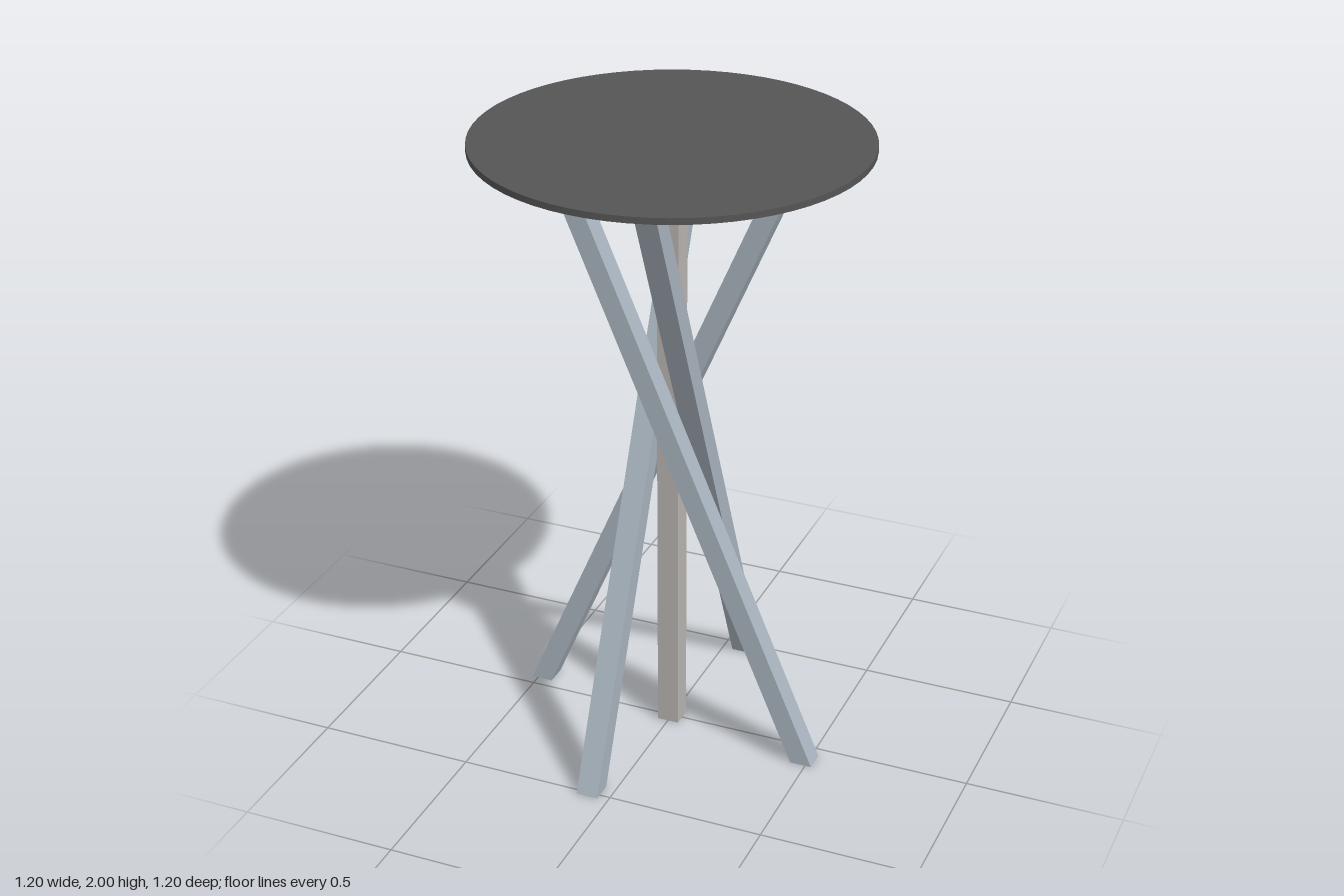
import * as THREE from 'three';

const WIDTH = 0.07;       // square section of every bar
const TOP_Y = 1.98;       // underside of the tabletop
const FOOT_X = 0.485;     // centre of a slanted leg at the floor
const HEAD_X = -0.365;    // centre of a slanted leg under the top

// Square bar with level ends, slanting from footX up to headX
function bar(footX, headX, z, material) {
  const geometry = new THREE.BoxGeometry(WIDTH, TOP_Y, WIDTH);
  geometry.translate(0, TOP_Y / 2, z);
  const p = geometry.attributes.position;
  for (let i = 0; i < p.count; i++) {
    p.setX(i, p.getX(i) + THREE.MathUtils.lerp(footX, headX, p.getY(i) / TOP_Y));
  }
  geometry.computeVertexNormals();
  return new THREE.Mesh(geometry, material);
}

export function createModel() {
  const model = new THREE.Group();
  model.name = 'pedestalTable';

  const topMaterial = new THREE.MeshStandardMaterial({ color: 0x555555 });
  const legMaterial = new THREE.MeshStandardMaterial({ color: 0xa9b4be });
  const postMaterial = new THREE.MeshStandardMaterial({ color: 0xb8b4b0 });

  // Thin round tabletop
  const top = new THREE.Mesh(new THREE.CylinderGeometry(0.6, 0.6, 2 - TOP_Y, 64), topMaterial);
  top.position.y = (2 + TOP_Y) / 2;
  top.name = 'tabletop';
  model.add(top);

  // Upright post in the middle
  const post = bar(0, 0, 0, postMaterial);
  post.name = 'centrePost';
  model.add(post);

  // Four slanted legs whirling around the post, each against one of its sides
  ['frontLeg', 'leftLeg', 'backLeg', 'rightLeg'].forEach((name, i) => {
    const leg = bar(FOOT_X, HEAD_X, WIDTH, legMaterial);
    leg.rotation.y = i * Math.PI / 2;
    leg.name = name;
    model.add(leg);
  });

  return model;
}
